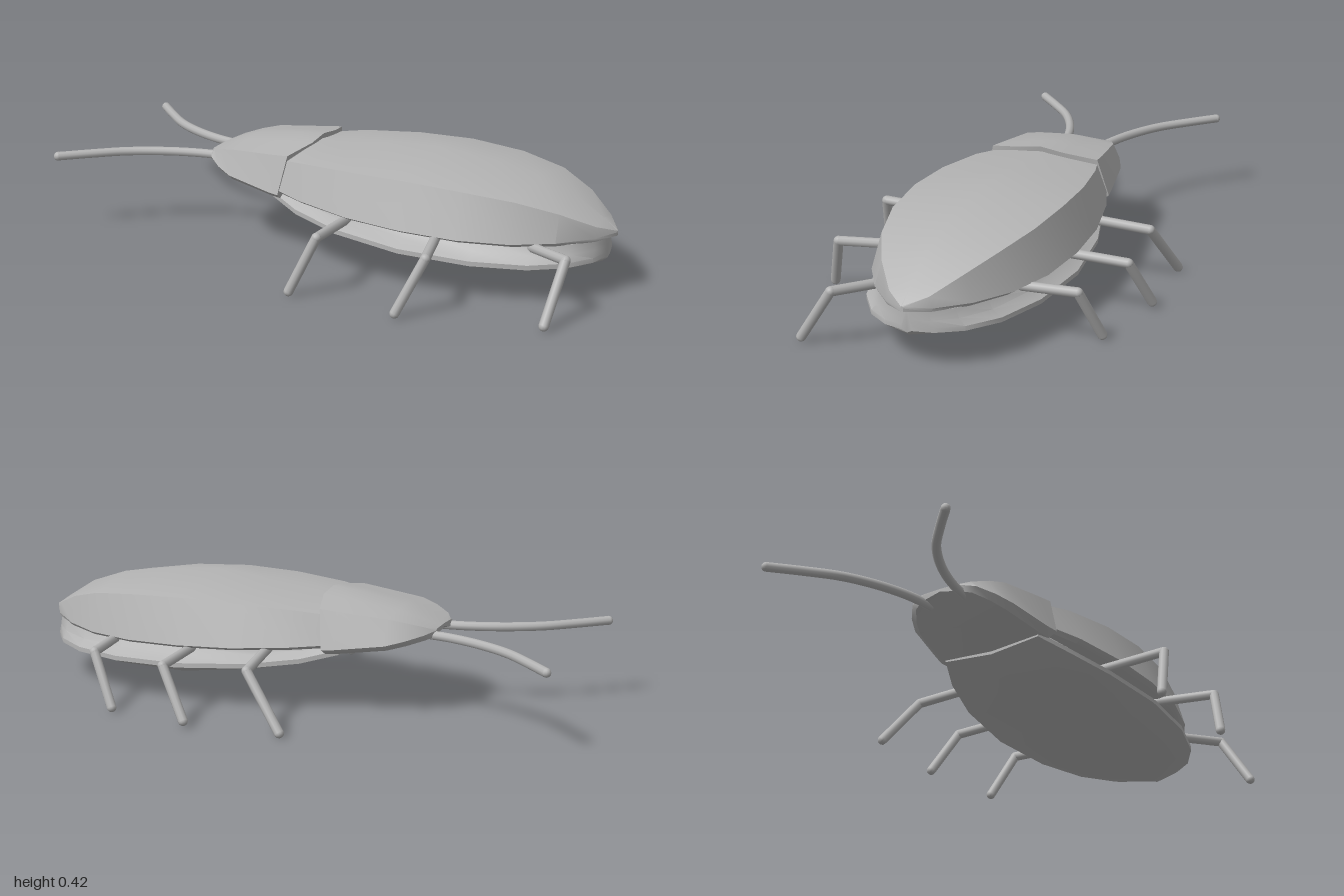
import * as THREE from 'three';
import { toCreasedNormals } from 'three/addons/utils/BufferGeometryUtils.js';

const grey = new THREE.MeshStandardMaterial({ color: 0xb4b4b4 });
grey.name = 'plainGrey';

// Skin over cross-sections along x. Each section is { x, pts }, where pts are
// [z, y, dx] from the top centre to the bottom centre of the +z half.
function loft(sections, crease) {
  const pos = [], idx = [];
  const rings = sections.map(({ x, pts }) => {
    const half = pts.map(([z, y, dx = 0]) => [x + dx, y, z]);
    const other = half.slice(1, -1).reverse().map(([a, b, c]) => [a, b, -c]);
    return [...half, ...other];
  });
  const n = rings[0].length;
  rings.forEach((r) => r.forEach((p) => pos.push(...p)));
  for (let i = 0; i < rings.length - 1; i++) {
    for (let j = 0; j < n; j++) {
      const a = i * n + j, b = i * n + (j + 1) % n;
      idx.push(a, b, b + n, a, b + n, a + n);
    }
  }
  const last = (rings.length - 1) * n;
  for (let j = 1; j < n - 1; j++) {
    idx.push(0, j + 1, j, last, last + j, last + j + 1);
  }
  const g = new THREE.BufferGeometry();
  g.setAttribute('position', new THREE.Float32BufferAttribute(pos, 3));
  g.setIndex(idx);
  return toCreasedNormals(g, crease);
}

function mesh(geometry, name, parent) {
  const m = new THREE.Mesh(geometry, grey);
  m.name = name;
  parent.add(m);
  return m;
}

// Straight round rod between two points, with ball ends
function rod(a, b, r, name, parent) {
  const len = a.distanceTo(b);
  const m = mesh(new THREE.CapsuleGeometry(r, len, 4, 10), name, parent);
  m.position.copy(a).lerp(b, 0.5);
  m.quaternion.setFromUnitVectors(new THREE.Vector3(0, 1, 0), b.clone().sub(a).normalize());
}

export function createModel() {
  const root = new THREE.Group();
  root.name = 'insect';

  // Wing cover: x, half width, ridge height, shoulder height, rim height
  const wing = [
    [-0.18, 0.22, 0.375, 0.345, 0.25],
    [-0.05, 0.27, 0.388, 0.36, 0.24],
    [0.15, 0.312, 0.406, 0.37, 0.226],
    [0.35, 0.322, 0.42, 0.373, 0.217],
    [0.55, 0.303, 0.402, 0.362, 0.21],
    [0.72, 0.25, 0.374, 0.34, 0.207],
    [0.85, 0.172, 0.327, 0.3, 0.208],
    [0.95, 0.082, 0.262, 0.25, 0.213],
    [1.0, 0.004, 0.227, 0.225, 0.22],
  ].map(([x, w, top, sh, rim]) => ({
    x, pts: [[0, top], [0.84 * w, sh], [w, rim], [0.93 * w, rim - 0.012], [0, rim - 0.008]],
  }));
  mesh(loft(wing, 0.6), 'wingCover', root);

  // Head shield: wedge nose, curved rear edge overlapping the wings
  const shield = [
    [-0.51, 0.08, 0.31, 0.308, 0.303, 0.3],
    [-0.485, 0.13, 0.322, 0.318, 0.295, 0.288],
    [-0.43, 0.172, 0.345, 0.335, 0.278, 0.262],
    [-0.37, 0.2, 0.366, 0.348, 0.262, 0.235],
    [-0.2, 0.23, 0.392, 0.362, 0.238, 0.203],
    [-0.1, 0.238, 0.402, 0.368, 0.235, 0.21],
  ].map(([x, w, top, sh, rim, low], i, all) => {
    const back = i === all.length - 1 ? 1 : 0;
    return {
      x,
      pts: [[0, top], [0.36 * w, top - (top - sh) * 0.35], [0.84 * w, sh, -0.035 * back],
        [w, rim, -0.055 * back], [0.88 * w, rim - 0.02, -0.06 * back], [0, low, -0.06 * back]],
    };
  });
  mesh(loft(shield, 0.6), 'headShield', root);

  // Belly: x, half width, rim height, keel height
  const belly = [
    [-0.2, 0.19, 0.215, 0.192],
    [-0.08, 0.245, 0.185, 0.152],
    [0.1, 0.297, 0.16, 0.103],
    [0.35, 0.325, 0.142, 0.05],
    [0.6, 0.3, 0.133, 0.056],
    [0.78, 0.24, 0.13, 0.074],
    [0.89, 0.165, 0.132, 0.092],
    [0.95, 0.085, 0.135, 0.11],
    [0.968, 0.02, 0.137, 0.125],
  ].map(([x, w, rim, low]) => ({
    x,
    pts: [[0, Math.max(0.205, rim)], [0.8 * w, Math.max(0.2, rim)], [0.87 * w, rim + 0.035],
      [w, rim + 0.012], [w, rim - 0.004], [0.82 * w, rim - (rim - low) * 0.33], [0, low]],
  }));
  mesh(loft(belly, 0.6), 'belly', root);

  // Legs: hip, knee and foot of each
  const legs = [
    ['frontLeftLeg', [0.12, 0.195, 0.22], [0.137, 0.21, 0.49], [0.05, 0.018, 0.525]],
    ['middleLeftLeg', [0.45, 0.195, 0.22], [0.527, 0.2, 0.475], [0.448, 0.018, 0.535]],
    ['rearLeftLeg', [0.76, 0.188, 0.18], [0.933, 0.203, 0.287], [0.916, 0.018, 0.41]],
    ['frontRightLeg', [0.045, 0.22, -0.22], [0.018, 0.2, -0.457], [-0.125, 0.018, -0.512]],
    ['middleRightLeg', [0.32, 0.2, -0.22], [0.315, 0.193, -0.49], [0.215, 0.025, -0.54]],
    ['rearRightLeg', [0.637, 0.195, -0.18], [0.61, 0.193, -0.43], [0.52, 0.018, -0.48]],
  ];
  for (const [name, ...joints] of legs) {
    const leg = new THREE.Group();
    leg.name = name;
    root.add(leg);
    const [hip, knee, foot] = joints.map((p) => new THREE.Vector3(...p));
    rod(hip, knee, 0.017, 'upperLeg', leg);
    rod(knee, foot, 0.017, 'lowerLeg', leg);
  }

  // Antennae sweeping forward and outward
  for (const s of [1, -1]) {
    const antenna = new THREE.Group();
    antenna.name = s > 0 ? 'leftAntenna' : 'rightAntenna';
    root.add(antenna);
    const pts = [[-0.46, 0.07], [-0.56, 0.085], [-0.68, 0.125], [-0.8, 0.19], [-0.9, 0.275], [-0.985, 0.355]]
      .map(([x, z]) => new THREE.Vector3(x, 0.285, s * z));
    mesh(new THREE.TubeGeometry(new THREE.CatmullRomCurve3(pts), 24, 0.016, 10), 'feeler', antenna);
    const tip = mesh(new THREE.SphereGeometry(0.016, 10, 8), 'feelerTip', antenna);
    tip.position.copy(pts[pts.length - 1]);
  }

  return root;
}
